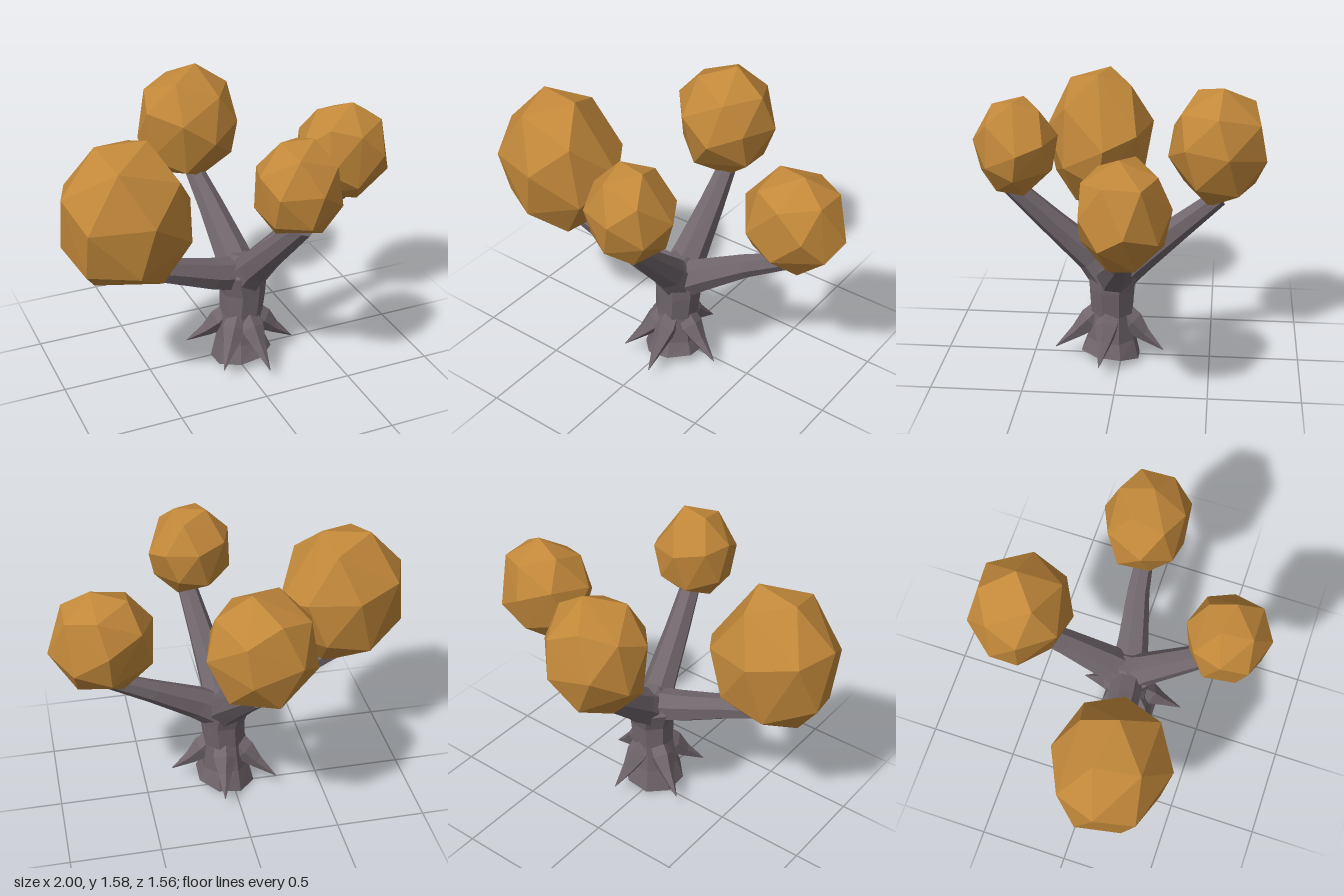
import * as THREE from 'three';
import { ConvexGeometry } from 'three/addons/geometries/ConvexGeometry.js';

const UP = new THREE.Vector3(0, 1, 0);

// Faceted tapering limb through stations [x, y, z, radius], capped at both ends
function limbGeometry(stations, sides, startNormal) {
  const centres = stations.map(([x, y, z]) => new THREE.Vector3(x, y, z));
  const last = centres.length - 1;
  const pos = [], index = [];
  centres.forEach((c, i) => {
    let n = centres[Math.min(i + 1, last)].clone().sub(centres[Math.max(i - 1, 0)]).normalize();
    if (i === 0 && startNormal) n = startNormal.clone().normalize();
    const q = new THREE.Quaternion().setFromUnitVectors(UP, n);
    for (let j = 0; j < sides; j++) {
      const a = (j + 0.5) / sides * Math.PI * 2, r = stations[i][3];
      const p = new THREE.Vector3(Math.cos(a) * r, 0, Math.sin(a) * r).applyQuaternion(q).add(c);
      pos.push(p.x, p.y, p.z);
    }
  });
  const startCap = pos.length / 3, endCap = startCap + 1;
  pos.push(...centres[0].toArray(), ...centres[last].toArray());
  for (let j = 0; j < sides; j++) {
    const k = (j + 1) % sides;
    for (let i = 0; i < last; i++) {
      const a = i * sides + j, b = i * sides + k;
      index.push(a, a + sides, b, b, a + sides, b + sides);
    }
    index.push(startCap, j, k, endCap, last * sides + k, last * sides + j);
  }
  const g = new THREE.BufferGeometry();
  g.setAttribute('position', new THREE.Float32BufferAttribute(pos, 3));
  g.setIndex(index);
  const flat = g.toNonIndexed();
  flat.computeVertexNormals();
  return flat;
}

// Irregular faceted clump filling the box between min and max
function clumpGeometry(min, max, seed) {
  let s = seed;
  const rand = () => (s = (s * 16807) % 2147483647) / 2147483647;
  const count = 22, pts = [];
  const turn = new THREE.Euler(seed * 0.7, seed * 1.3, seed * 0.4);
  for (let i = 0; i < count; i++) {
    const y = 1 - 2 * (i + 0.5) / count, r = Math.sqrt(1 - y * y);
    const a = i * 2.39996 + (rand() - 0.5) * 0.35;
    pts.push(new THREE.Vector3(Math.cos(a) * r, y, Math.sin(a) * r).applyEuler(turn));
  }
  const box = new THREE.Box3().setFromPoints(pts);
  const from = box.getSize(new THREE.Vector3());
  const lo = new THREE.Vector3(...min);
  const size = new THREE.Vector3(...max).sub(lo);
  pts.forEach(p => p.sub(box.min).divide(from).multiply(size).add(lo));
  return new ConvexGeometry(pts);
}

export function createModel() {
  const bark = new THREE.MeshStandardMaterial({ color: 0x70666c });
  bark.name = 'greyBark';
  const leaf = new THREE.MeshStandardMaterial({ color: 0xc2883a });
  leaf.name = 'amberLeaves';

  const tree = new THREE.Group();
  tree.name = 'tree';
  const add = (name, geometry, material) => {
    const mesh = new THREE.Mesh(geometry, material);
    mesh.name = name;
    tree.add(mesh);
  };

  // Trunk with a slanted cut at the foot, swelling into the fork
  add('trunk', limbGeometry([
    [0.035, 0.035, 0.06, 0.175], [0.035, 0.14, 0.055, 0.14], [0.04, 0.3, 0.05, 0.122],
    [0.05, 0.44, 0.05, 0.13], [0.035, 0.56, 0.04, 0.15], [0.04, 0.655, 0.03, 0.05],
  ], 8, new THREE.Vector3(-0.15, 1, -0.12)), bark);

  // Four branches, thick at the fork, each running into its clump
  const branches = {
    rightBranch: [[0.03, 0.54, 0.05, 0.1], [-0.15, 0.59, 0.08, 0.09], [-0.42, 0.69, 0.12, 0.07], [-0.63, 0.76, 0.14, 0.052]],
    leftBranch: [[0.06, 0.5, 0.04, 0.11], [0.2, 0.59, 0.02, 0.092], [0.45, 0.735, -0.03, 0.065], [0.72, 0.875, -0.06, 0.045]],
    backBranch: [[0.04, 0.5, 0.05, 0.12], [0.035, 0.61, -0.08, 0.1], [0.01, 0.8, -0.32, 0.073], [-0.02, 0.965, -0.53, 0.052]],
    frontBranch: [[0.05, 0.5, 0.05, 0.12], [0.065, 0.63, 0.16, 0.093], [0.11, 0.84, 0.37, 0.073], [0.16, 1.06, 0.58, 0.055]],
  };
  for (const [name, stations] of Object.entries(branches)) add(name, limbGeometry(stations, 7), bark);

  // Spiked roots splaying from the lower trunk
  const tips = [[-0.24, 0.08, -0.09], [-0.16, 0.08, 0.28], [0.08, 0.07, 0.37], [0.34, 0.08, 0.1], [0.09, 0.08, -0.24]];
  tips.forEach(([x, y, z], i) => {
    const along = (t, h, r) => [0.04 + (x - 0.04) * t, h, 0.05 + (z - 0.05) * t, r];
    add('root' + (i + 1), limbGeometry([
      along(0.18, 0.3, 0.06), along(0.38, 0.235, 0.07), along(0.62, 0.165, 0.04), [x, y, z, 0.002],
    ], 5), bark);
  });

  // Foliage clumps
  add('rightFoliage', clumpGeometry([-1, 0.7, -0.13], [-0.29, 1.5, 0.5], 17), leaf);
  add('leftFoliage', clumpGeometry([0.43, 0.84, -0.31], [1, 1.41, 0.15], 7), leaf);
  add('backFoliage', clumpGeometry([-0.32, 0.92, -0.78], [0.25, 1.58, -0.25], 11), leaf);
  add('frontFoliage', clumpGeometry([-0.09, 1.02, 0.33], [0.37, 1.53, 0.78], 17), leaf);

  return tree;
}
